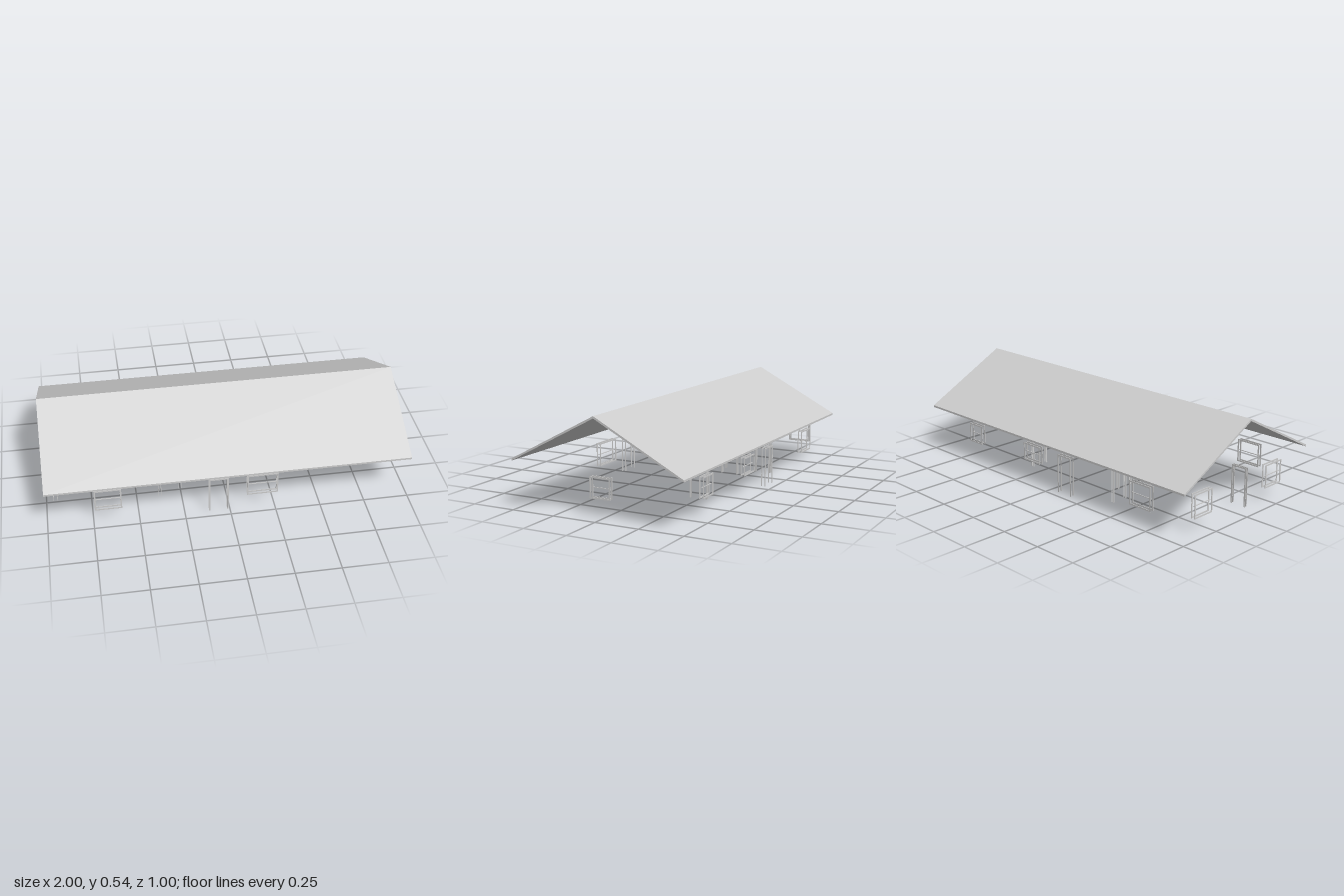
import * as THREE from 'three';

const TOP = 0.22;      // head height of all openings
const TRIM = 0.008;    // visible trim width
const PLATE = 0.003;   // trim thickness

export function createModel() {
  const model = new THREE.Group();
  model.name = 'house';
  const grey = new THREE.MeshStandardMaterial({ color: 0xcccccc });
  grey.name = 'lightGrey';

  const add = (parent, geometry, name) => {
    const mesh = new THREE.Mesh(geometry, grey);
    mesh.name = name;
    parent.add(mesh);
    return mesh;
  };
  const polygon = (points) => new THREE.Shape(points.map(([x, y]) => new THREE.Vector2(x, y)));

  // Gabled roof: chevron section swept along x
  const section = polygon([
    [-0.5, 0.261], [0, 0.523], [0.5, 0.261], [0.5, 0.272], [0, 0.535], [-0.5, 0.272],
  ]);
  const roof = new THREE.ExtrudeGeometry(section, { depth: 2, bevelEnabled: false });
  roof.translate(0, 0, -1).rotateY(Math.PI / 2);
  add(model, roof, 'roof');

  // Flat trim, open at the floor for doors and closed for windows
  const doorTrim = (w) => polygon([
    [-w, 0], [-w + TRIM, 0], [-w + TRIM, TOP - TRIM], [w - TRIM, TOP - TRIM],
    [w - TRIM, 0], [w, 0], [w, TOP], [-w, TOP],
  ]);
  const windowTrim = (w, sill) => {
    const shape = polygon([[-w, sill], [w, sill], [w, TOP], [-w, TOP]]);
    const i = w - TRIM, low = sill + TRIM, high = TOP - TRIM;
    shape.holes.push(polygon([[-i, low], [-i, high], [i, high], [i, low]]));
    return shape;
  };

  // An opening has matching trim on both faces of its wall
  const opening = (name, facing, wall, depth, from, to, sill = 0) => {
    const group = new THREE.Group();
    group.name = name;
    const half = (to - from) / 2;
    const mid = (from + to) / 2;
    const shape = sill > 0 ? windowTrim(half, sill) : doorTrim(half);
    for (const z of [-depth / 2, depth / 2 - PLATE]) {
      const trim = new THREE.ExtrudeGeometry(shape, { depth: PLATE, bevelEnabled: false });
      add(group, trim.translate(0, 0, z), 'trim');
    }
    if (sill > 0) {
      const rail = add(group, new THREE.BoxGeometry(2 * half - TRIM, 0.004, 0.004), 'meetingRail');
      rail.position.y = (sill + TOP) / 2;
    }
    if (facing === 'x') {
      group.rotation.y = Math.PI / 2;
      group.position.set(wall, 0, mid);
    } else {
      group.position.set(mid, 0, wall);
    }
    model.add(group);
  };

  // Windows in the outer walls: facing, wall, from, to, sill
  const windows = [
    ['z', 0.443, -0.739, -0.591, 0.087],
    ['z', 0.443, 0.095, 0.268, 0.087],
    ['z', -0.443, -0.739, -0.591, 0.087],
    ['z', -0.443, 0.095, 0.226, 0.118],
    ['z', -0.443, 0.599, 0.711, 0.106],
    ['x', 0.943, -0.063, 0.058, 0.106],
    ['x', -0.945, 0.205, 0.339, 0.087],
    ['x', -0.945, -0.369, -0.233, 0.087],
  ];
  for (const [facing, wall, from, to, sill] of windows) {
    opening('window', facing, wall, 0.024, from, to, sill);
  }

  // Outer doors
  opening('frontDoorFrame', 'z', 0.443, 0.024, -0.116, -0.007);
  opening('backDoorFrame', 'z', -0.443, 0.024, -0.156, -0.052);

  // Doors in the inner walls
  const innerDoors = [
    ['z', 0.101, -0.912, -0.817],
    ['x', -0.37, 0.196, 0.293],
    ['x', -0.37, -0.064, 0.026],
    ['x', -0.37, -0.352, -0.252],
    ['x', -0.25, 0.124, 0.241],
    ['x', -0.25, -0.193, -0.087],
    ['x', 0.342, -0.294, -0.187],
  ];
  for (const [facing, wall, from, to] of innerDoors) {
    opening('innerDoorFrame', facing, wall, 0.017, from, to);
  }

  return model;
}
